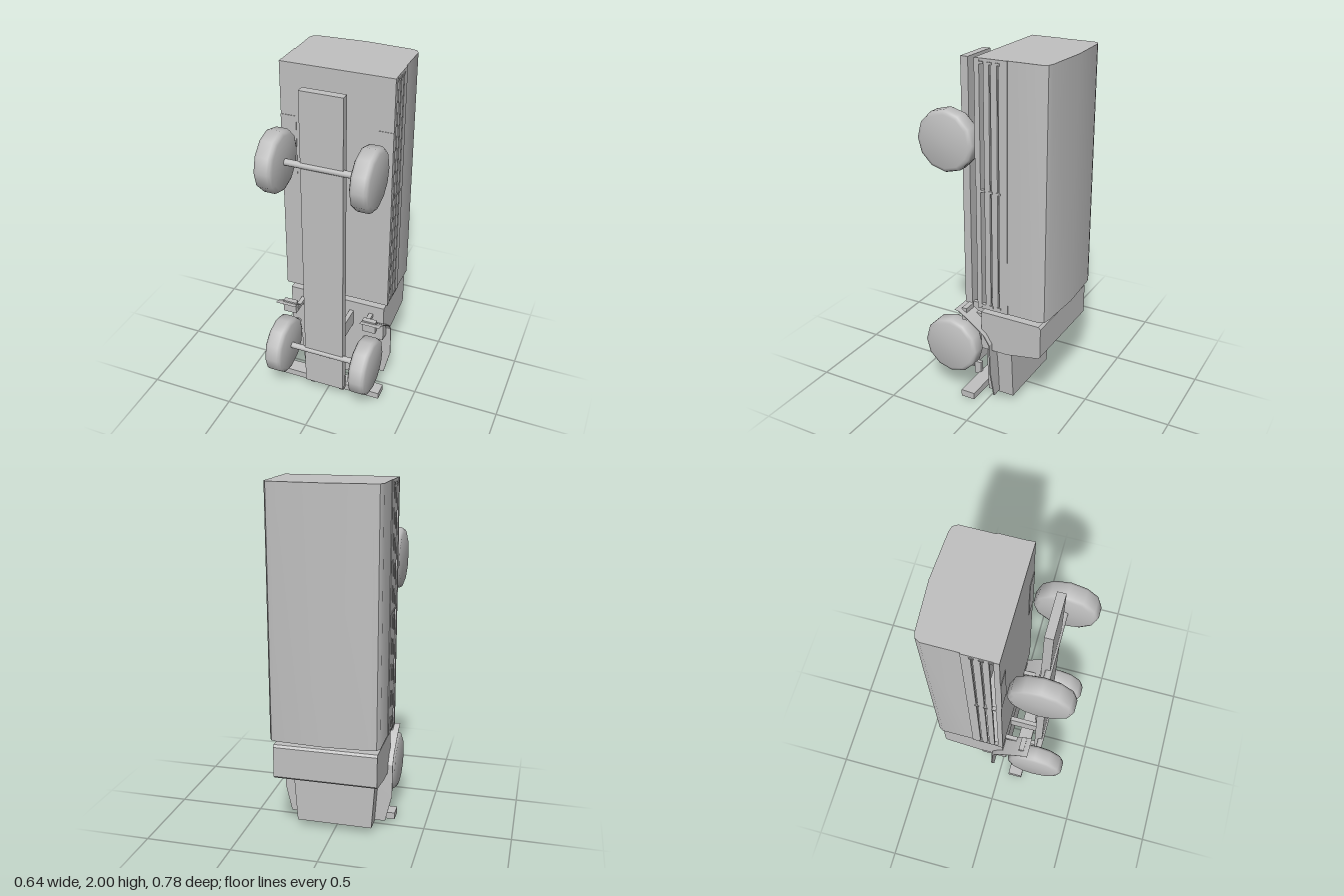
import * as THREE from 'three';
import { toCreasedNormals } from 'three/addons/utils/BufferGeometryUtils.js';

export function createModel() {
  const model = new THREE.Group();
  const grey = new THREE.MeshStandardMaterial({ color: 0xc0c0c0 });
  grey.name = 'grey';
  grey.side = THREE.DoubleSide;

  const add = (name, geometry) => {
    const mesh = new THREE.Mesh(geometry, grey);
    mesh.name = name;
    model.add(mesh);
    return mesh;
  };
  // Box given by its limits on each axis
  const box = (name, x0, x1, y0, y1, z0, z1) => {
    const mesh = add(name, new THREE.BoxGeometry(x1 - x0, y1 - y0, z1 - z0));
    mesh.position.set((x0 + x1) / 2, (y0 + y1) / 2, (z0 + z1) / 2);
    return mesh;
  };
  const pair = (name, x0, x1, ...rest) => {
    box(name + 'Left', x0, x1, ...rest);
    box(name + 'Right', -x1, -x0, ...rest);
  };
  const shape = (points) => new THREE.Shape(points.map(([a, b]) => new THREE.Vector2(a, b)));

  // Chassis and bumper
  box('chassis', -0.118, 0.118, 0.08, 1.95, 0.18, 0.225);
  box('bumper', -0.315, 0.315, 0.005, 0.045, 0.062, 0.146);
  pair('bumperFoot', 0.22, 0.28, 0, 0.006, 0.08, 0.13);
  pair('bumperBracket', 0.08, 0.105, 0.03, 0.11, 0.138, 0.181);
  pair('cabStrut', 0.08, 0.105, 0.425, 0.52, 0.015, 0.181);

  // Axles and wheels
  const tyreProfile = [[0, -0.052], [0.145, -0.052], [0.163, -0.044], [0.17, -0.03],
    [0.17, 0.03], [0.163, 0.044], [0.145, 0.052], [0, 0.052]].map(([r, h]) => new THREE.Vector2(r, h));
  const tyre = toCreasedNormals(new THREE.LatheGeometry(tyreProfile, 12), 0.9);
  for (const [end, y] of [['front', 0.315], ['rear', 1.54]]) {
    const axle = add(end + 'Axle', new THREE.CylinderGeometry(0.018, 0.018, 0.44, 12));
    axle.rotation.z = Math.PI / 2;
    axle.position.set(0, y, 0.218);
    for (const side of [-1, 1]) {
      const wheel = add(end + (side > 0 ? 'LeftWheel' : 'RightWheel'), tyre);
      wheel.rotation.z = Math.PI / 2;
      wheel.position.set(side * 0.257, y, 0.22);
    }
  }

  // Cargo bed: floor, end boards, slatted sides
  box('bedFloor', -0.312, 0.312, 0.623, 2, 0, 0.028);
  box('headBoard', -0.31, 0.31, 0.623, 0.637, -0.155, 0);
  box('tailBoard', -0.31, 0.31, 1.986, 2, -0.155, 0);
  for (const [z0, z1] of [[-0.054, -0.022], [-0.098, -0.063], [-0.155, -0.107]]) {
    pair('sidePlank', 0.296, 0.31, 0.63, 1.993, z0, z1);
  }
  for (const y of [0.645, 1.312, 1.978]) {
    pair('sidePost', 0.293, 0.304, y - 0.006, y + 0.006, -0.155, 0);
    for (const z of [-0.012, -0.058, -0.103]) {
      pair('hinge', 0.3, 0.314, y - 0.006, y + 0.006, z - 0.012, z + 0.012);
    }
  }
  pair('rearWheelPlate', 0.225, 0.312, 1.37, 1.71, 0.027, 0.031);

  // Canvas cover with a gently peaked roof, extruded along the bed
  const tarp = new THREE.ExtrudeGeometry(shape([[-0.305, 0.155], [0.305, 0.155], [0.305, 0.34],
    [0.29, 0.366], [0.26, 0.375], [0, 0.39], [-0.26, 0.375], [-0.29, 0.366], [-0.305, 0.34]]),
  { depth: 1.377, bevelEnabled: false });
  tarp.rotateX(-Math.PI / 2).translate(0, 0.623, 0);
  add('canvasCover', toCreasedNormals(tarp, 0.7));

  // Cab from its side profile, as z and y
  const cab = new THREE.ExtrudeGeometry(shape([[0.02, 0.355], [0.02, 0.585], [-0.333, 0.585],
    [-0.345, 0.572], [-0.345, 0.4], [-0.333, 0.388], [-0.14, 0.355]]),
  { depth: 0.58, bevelEnabled: false });
  cab.translate(0, 0, -0.29).rotateY(-Math.PI / 2);
  add('cab', cab);

  // Bonnet narrows toward the nose
  const bonnet = new THREE.BoxGeometry(0.48, 0.315, 0.16);
  const p = bonnet.attributes.position;
  for (let i = 0; i < p.count; i++) if (p.getY(i) < 0) p.setX(i, p.getX(i) * 0.91);
  bonnet.computeVertexNormals();
  add('bonnet', bonnet).position.set(0, 0.1975, -0.062);
  box('grille', -0.19, 0.19, 0.037, 0.042, -0.125, 0.002);

  // Front mudguards: a thin curved sheet, each row is y, z, inner x, outer x
  const rows = [[0.57, 0.17, 0.2, 0.318], [0.565, 0.145, 0.2, 0.318], [0.53, 0.09, 0.2, 0.318],
    [0.455, -0.01, 0.2, 0.318], [0.4, -0.045, 0.2, 0.318], [0.21, -0.052, 0.2, 0.318],
    [0.05, -0.053, 0.2, 0.28]];
  for (const side of [-1, 1]) {
    const points = [];
    const faces = [];
    for (const [y, z, inner, outer] of rows) {
      for (const dz of [0, 0.007]) points.push(side * inner, y, z + dz, side * outer, y, z + dz);
    }
    const quad = (a, b, c, d) => (side > 0 ? faces.push(a, b, c, a, c, d) : faces.push(a, c, b, a, d, c));
    for (let i = 0; i < rows.length - 1; i++) {
      const a = i * 4;
      const b = a + 4;
      quad(a, a + 1, b + 1, b);
      quad(a + 3, a + 2, b + 2, b + 3);
      quad(a + 1, a + 3, b + 3, b + 1);
      quad(a + 2, a, b, b + 2);
    }
    quad(0, 2, 3, 1);
    const e = (rows.length - 1) * 4;
    quad(e, e + 1, e + 3, e + 2);
    const sheet = new THREE.BufferGeometry();
    sheet.setAttribute('position', new THREE.Float32BufferAttribute(points, 3));
    sheet.setIndex(faces);
    add(side > 0 ? 'leftMudguard' : 'rightMudguard', toCreasedNormals(sheet, 0.5));
  }

  // Cab steps beside the mudguards
  pair('step', 0.205, 0.285, 0.5, 0.575, 0.118, 0.148);
  pair('stepArm', 0.2, 0.225, 0.51, 0.53, 0.02, 0.12);

  return model;
}
